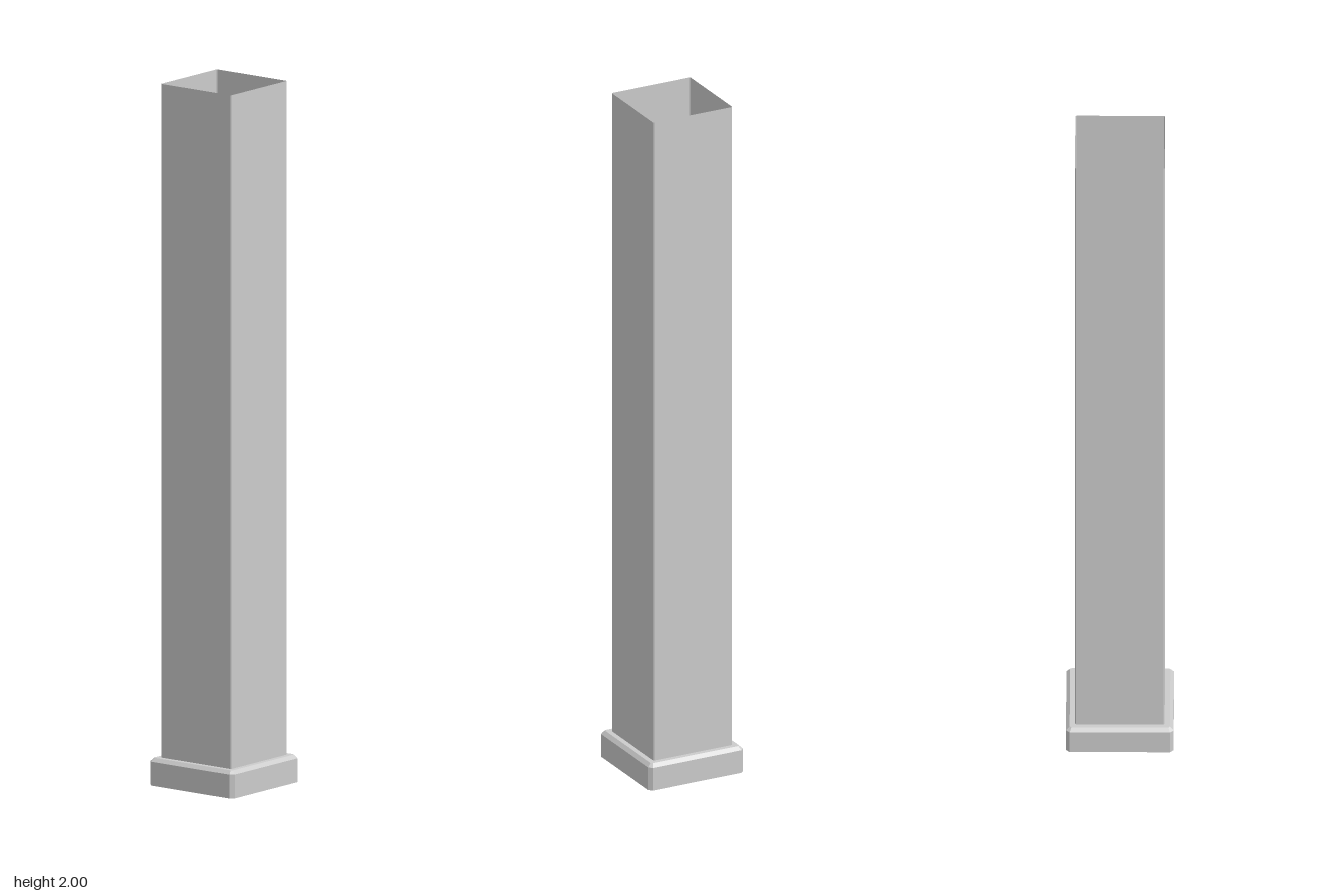
import * as THREE from 'three';

const material = new THREE.MeshStandardMaterial({ color: 0xcccccc, flatShading: true, side: THREE.DoubleSide });

// Square ring of half-width h at height y, corners cut by c
function ring([h, y, c]) {
  const k = h - c;
  return [[h, -k], [h, k], [k, h], [-k, h], [-h, k], [-h, -k], [-k, -h], [k, -h]]
    .map(([x, z]) => [x, y, z]);
}

// Skin a list of [halfWidth, height, cornerCut] sections
function loft(name, sections) {
  const rings = sections.map(ring);
  const positions = [];
  for (let s = 0; s < rings.length - 1; s++) {
    for (let i = 0; i < 8; i++) {
      const j = (i + 1) % 8;
      const a = rings[s][i], b = rings[s][j], c = rings[s + 1][j], d = rings[s + 1][i];
      positions.push(...a, ...d, ...b, ...b, ...d, ...c);
    }
  }
  const geometry = new THREE.BufferGeometry();
  geometry.setAttribute('position', new THREE.Float32BufferAttribute(positions, 3));
  geometry.computeVertexNormals();
  const mesh = new THREE.Mesh(geometry, material);
  mesh.name = name;
  return mesh;
}

export function createModel() {
  const group = new THREE.Group();
  group.name = 'squarePost';

  // Base: recess wall, underside rim, outer wall, top chamfer, flat top
  group.add(loft('base', [
    [0.125, 0.078, 0.003],
    [0.125, 0, 0.003],
    [0.15, 0, 0.01],
    [0.15, 0.068, 0.01],
    [0.14, 0.078, 0.005],
    [0, 0.078, 0],
  ]));

  // Thin-walled shaft, open at the top
  group.add(loft('shaft', [
    [0.125, 0.078, 0.003],
    [0.125, 2, 0.003],
  ]));

  return group;
}
